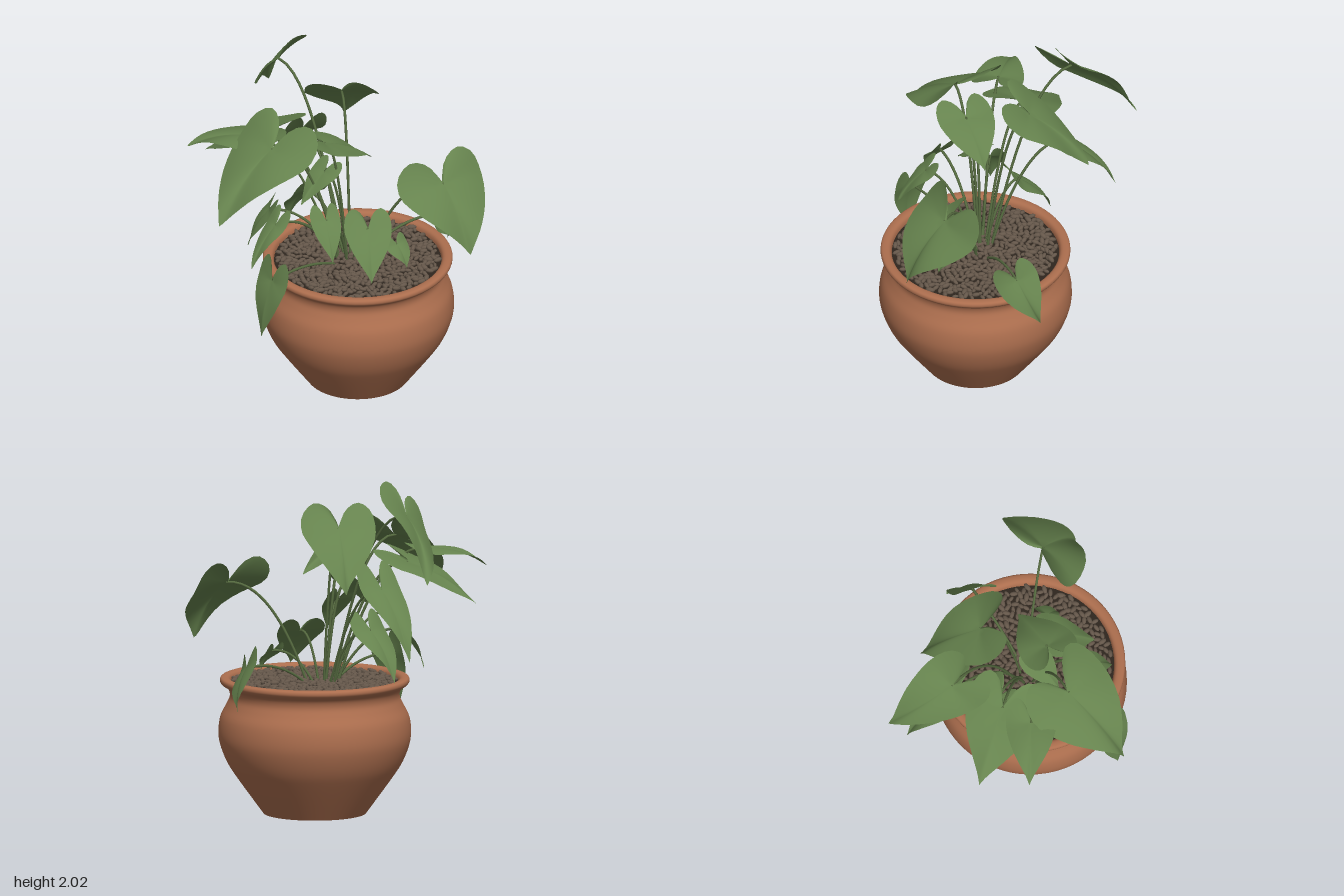
import * as THREE from 'three';
import { mergeGeometries } from 'three/addons/utils/BufferGeometryUtils.js';

const V = (x, y, z) => new THREE.Vector3(x, y, z);
const points2 = (list) => list.map(([x, y]) => new THREE.Vector2(x, y));
const material = (name, color, side = THREE.FrontSide) => {
  const m = new THREE.MeshStandardMaterial({ color, side });
  m.name = name;
  return m;
};

// small seeded random generator
function seeded(seed) {
  return () => {
    seed = (seed * 16807) % 2147483647;
    return seed / 2147483647;
  };
}

// right half of the heart outline: x across, y from stalk (0) to tip (1)
const half = new THREE.SplineCurve(points2([
  [0, 1], [0.13, 0.87], [0.42, 0.66], [0.76, 0.38], [0.98, 0.05],
  [0.92, -0.25], [0.6, -0.4], [0.24, -0.29], [0, -0.03],
])).getPoints(20);
const outline = [...half, ...half.slice(1, -1).reverse().map((p) => new THREE.Vector2(-p.x, p.y))];

// heart-shaped blade from its stalk to its tip, level across unless rolled about its length
function leafGeometry(base, tip, width, roll, phase) {
  const along = tip.clone().sub(base);
  const length = along.length();
  const dir = along.clone().normalize();
  const across = V(dir.z, 0, -dir.x).normalize().applyAxisAngle(dir, roll);
  const normal = dir.clone().cross(across);
  const rings = 6, n = outline.length;
  const positions = [...base.toArray()], index = [];
  for (let r = 1; r <= rings; r++) {
    const t = r / rings;
    outline.forEach((p, j) => {
      const x = p.x * t, y = p.y * t;
      const arch = 0.3 * length * Math.max(0, y) * (1 - y);
      const wave = 0.06 * width * t * t * Math.sin((j / n) * Math.PI * 8 + phase);
      const h = arch - 0.2 * width * x * x + 0.1 * width * Math.abs(x) + wave;
      const v = base.clone().addScaledVector(across, x * width).addScaledVector(along, y).addScaledVector(normal, h);
      positions.push(v.x, v.y, v.z);
    });
  }
  // the outline runs clockwise from above, so corners are taken in reverse
  for (let j = 0; j < n; j++) {
    const k = (j + 1) % n;
    index.push(0, 1 + j, 1 + k);
    for (let r = 0; r < rings - 1; r++) {
      const a = 1 + r * n, b = a + n;
      index.push(a + j, b + j, b + k, a + j, b + k, a + k);
    }
  }
  const g = new THREE.BufferGeometry();
  g.setAttribute('position', new THREE.Float32BufferAttribute(positions, 3));
  g.setIndex(index);
  g.computeVertexNormals();
  return g;
}

// stalk point, tip, half width, optional roll
const leaves = [
  [[-0.2, 1.82, -0.4], [-0.16, 1.47, -0.78], 0.2, -0.7],
  [[-0.33, 1.5, -0.13], [-0.64, 1.26, -0.4], 0.22],
  [[-0.42, 1.6, 0.25], [-0.79, 1.25, 0.45], 0.28],
  [[-0.08, 1.38, -0.32], [-0.11, 1, -0.65], 0.13],
  [[0.1, 1.72, -0.1], [0.2, 1.38, -0.43], 0.22],
  [[-0.1, 1.59, 0.24], [0.2, 1.41, 0.18], 0.17],
  [[-0.5, 1.56, -0.02], [-0.82, 1.46, -0.16], 0.15],
  [[0.56, 1.35, 0.48], [0.66, 1, 0.73], 0.29],
  [[0.13, 1.05, 0.38], [0.09, 0.82, 0.61], 0.14],
  [[-0.15, 1.2, 0.47], [-0.15, 1, 0.63], 0.09],
  [[0.3, 0.94, 0.4], [0.34, 0.82, 0.48], 0.08],
  [[0.62, 0.91, 0.06], [0.73, 0.67, -0.06], 0.13, 0.88],
  [[-0.48, 0.86, 0.5], [-0.54, 0.5, 0.5], 0.12, -0.47],
  [[-0.42, 1.14, 0.34], [-0.58, 0.9, 0.4], 0.08],
  [[-0.12, 1.1, -0.07], [-0.18, 0.82, -0.28], 0.12],
  [[-0.38, 1.08, 0.05], [-0.5, 0.84, 0.03], 0.09],
  [[-0.08, 1.36, 0.18], [-0.24, 1.2, 0.26], 0.1],
];

export function createModel() {
  const model = new THREE.Group();
  const clay = material('terracotta', 0xac6e4e);
  const soilMat = material('dark soil', 0x2e261e);
  const stoneMat = material('brown pebble', 0x65574a);
  const leafMat = material('leaf green', 0x66834e, THREE.DoubleSide);
  const stemMat = material('stem green', 0x566b40);
  const add = (parent, name, geometry, mat) => {
    const mesh = new THREE.Mesh(geometry, mat);
    mesh.name = name;
    parent.add(mesh);
    return mesh;
  };

  // round-bellied pot with rolled rim and recessed underside
  const pot = new THREE.Group();
  pot.name = 'pot';
  pot.position.set(0.11, 0, 0.22);
  model.add(pot);
  const wall = new THREE.SplineCurve(points2([
    [0.3, 0], [0.445, 0.2], [0.51, 0.3], [0.55, 0.4], [0.562, 0.48], [0.55, 0.57],
    [0.515, 0.64], [0.495, 0.69], [0.505, 0.735], [0.54, 0.76], [0.553, 0.78],
    [0.545, 0.8], [0.51, 0.802], [0.49, 0.78], [0.485, 0.72],
  ])).getPoints(60);
  add(pot, 'potWall', new THREE.LatheGeometry(wall, 64), clay);
  const foot = points2([[0, 0.02], [0.26, 0.02], [0.27, 0], [0.3, 0]]);
  add(pot, 'potFoot', new THREE.LatheGeometry(foot, 64), clay);

  // soil with a layer of elongated pebbles
  const soil = add(pot, 'soil', new THREE.CircleGeometry(0.49, 48), soilMat);
  soil.rotation.x = -Math.PI / 2;
  soil.position.y = 0.765;
  const random = seeded(11);
  const stones = [];
  for (let i = 0; i < 620; i++) {
    const r = 0.47 * Math.sqrt((i + 0.5) / 620), a = i * 2.39996;
    const s = 0.8 + random() * 0.45;
    const g = new THREE.SphereGeometry(1, 8, 5);
    g.scale(0.025 * s, 0.012 * s, 0.013 * s);
    g.rotateZ((random() - 0.5) * 0.7);
    g.rotateY(random() * Math.PI);
    g.translate(r * Math.cos(a), 0.772 + random() * 0.016, r * Math.sin(a));
    stones.push(g);
  }
  add(pot, 'pebbles', mergeGeometries(stones), stoneMat);

  // leaves, each on an arching stem from the middle of the pot
  const plant = new THREE.Group();
  plant.name = 'plant';
  model.add(plant);
  leaves.forEach(([b, t, width, roll = 0], i) => {
    const base = V(...b);
    add(plant, 'leaf', leafGeometry(base, V(...t), width, roll, i * 1.7), leafMat);
    const root = V(0.07 + 0.15 * base.x, 0.75, 0.16 + 0.12 * base.z);
    const bend = root.clone().lerp(base, 0.45).setY(base.y + 0.03);
    const path = new THREE.QuadraticBezierCurve3(root, bend, base);
    add(plant, 'stem', new THREE.TubeGeometry(path, 18, 0.008, 6), stemMat);
  });
  return model;
}
